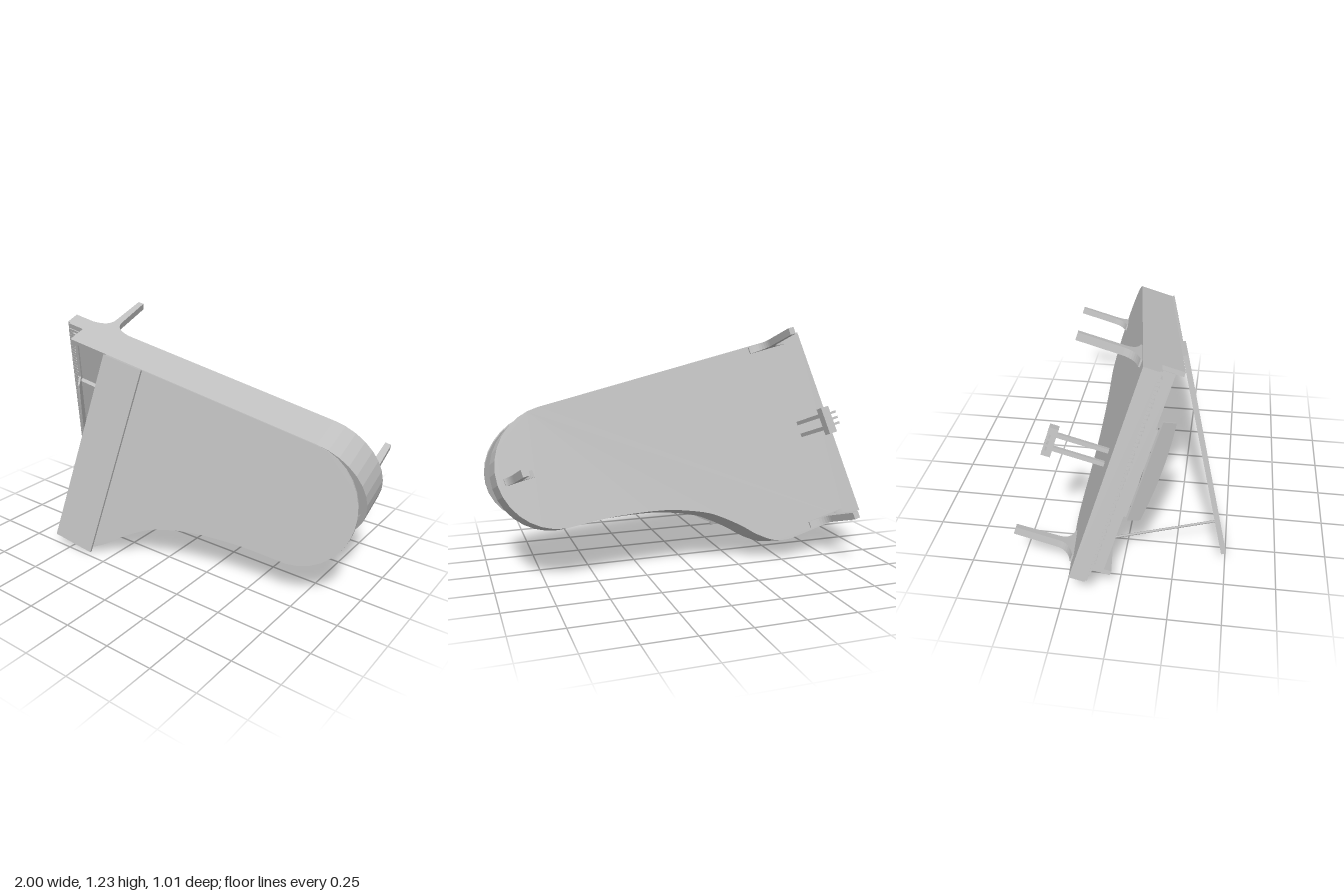
import * as THREE from 'three';

// Working frame: x = keyboard to tail, y = treble to bass, z = floor to lid.
const BASS = 0.934, WIDTH = 1.052, FRONT = -0.88, TOP = -0.113, BOTTOM = -0.304;

// Plan outline from the front bass corner round the tail to the front treble corner;
// y is measured down from the straight bass side.
function outline(front) {
  const pts = [new THREE.Vector2(front, 0)];
  for (let i = 0; i <= 16; i++) {
    const a = Math.PI / 2 - (Math.PI * i) / 16;
    pts.push(new THREE.Vector2(0.55 + 0.3 * Math.cos(a), -0.302 + 0.302 * Math.sin(a)));
  }
  const bend = new THREE.SplineCurve([
    [0.55, 0.604], [0.35, 0.626], [0.1, 0.68], [-0.09, 0.756], [-0.18, 0.815],
    [-0.27, 0.893], [-0.34, 0.965], [-0.43, 1.03], [-0.52, WIDTH],
  ].map(([x, s]) => new THREE.Vector2(x, -s)));
  pts.push(...bend.getPoints(24).slice(1), new THREE.Vector2(front, -WIDTH));
  return pts;
}

// Moves an open path inward (to its right) by d
function inset(pts, d) {
  return pts.map((p, i) => {
    const a = pts[Math.max(i - 1, 0)], b = pts[Math.min(i + 1, pts.length - 1)];
    const t = b.clone().sub(a).normalize();
    return new THREE.Vector2(p.x + t.y * d, p.y - t.x * d);
  });
}

export function createModel() {
  const gray = new THREE.MeshStandardMaterial({ color: 0xbebebe });
  gray.name = 'plain gray';
  const model = new THREE.Group();
  model.name = 'grandPiano';
  const piano = new THREE.Group();
  piano.name = 'pianoBody';
  model.add(piano);

  const add = (name, geo, parent = piano) => {
    const m = new THREE.Mesh(geo, gray);
    m.name = name;
    parent.add(m);
    return m;
  };
  const box = (name, x0, x1, y0, y1, z0, z1, parent) => {
    const m = add(name, new THREE.BoxGeometry(x1 - x0, y1 - y0, z1 - z0), parent);
    m.position.set((x0 + x1) / 2, (y0 + y1) / 2, (z0 + z1) / 2);
    return m;
  };
  const slab = (name, pts, depth, z, parent) => {
    const geo = new THREE.ExtrudeGeometry(new THREE.Shape(pts), { depth, bevelEnabled: false });
    const m = add(name, geo, parent);
    m.position.z = z;
    return m;
  };

  // Case: bottom board, curved rim and recessed soundboard
  const plan = outline(FRONT);
  const inner = inset(plan, 0.022);
  const TREBLE = BASS - WIDTH;
  slab('bottomBoard', plan, 0.02, BOTTOM).position.y = BASS;
  slab('rim', [...plan, ...inner.slice().reverse()], TOP - BOTTOM - 0.02, BOTTOM + 0.02).position.y = BASS;
  slab('soundboard', inset(plan, 0.015), 0.02, -0.215).position.y = BASS;

  // Keyboard
  box('keybed', -0.988, FRONT, TREBLE, BASS, BOTTOM, -0.229);
  box('fallboard', -0.885, -0.868, TREBLE + 0.02, BASS - 0.02, -0.229, -0.15);
  box('pinBlock', -0.87, -0.6, TREBLE + 0.02, BASS - 0.02, -0.2, -0.16);
  box('musicShelf', -0.865, -0.56, 0.19, 0.64, -0.16, -0.135);
  const keys = new THREE.Group();
  keys.name = 'keys';
  piano.add(keys);
  const k0 = TREBLE + 0.03, pitch = (WIDTH - 0.06) / 52;
  for (let i = 0; i < 52; i++) {
    const y = BASS - 0.03 - i * pitch;
    box('whiteKey', -0.975, -0.88, y - pitch + 0.0015, y, -0.23, -0.213, keys);
    // Black keys in groups of two and three
    if (i < 51 && ![1, 4].includes(i % 7)) {
      box('blackKey', -0.942, -0.88, y - pitch - 0.005, y - pitch + 0.005, -0.215, -0.203, keys);
    }
  }
  for (const y of [k0 - 0.03, BASS - 0.03]) box('keyBlock', -0.975, -0.88, y, y + 0.03, -0.23, -0.218, keys);

  // Music desk leaning back
  const deskShape = new THREE.Shape();
  deskShape.moveTo(-0.255, 0);
  deskShape.lineTo(0.255, 0);
  deskShape.lineTo(0.255, 0.075);
  deskShape.quadraticCurveTo(0, 0.115, -0.255, 0.075);
  const deskGeo = new THREE.ExtrudeGeometry(deskShape, { depth: 0.01, bevelEnabled: false, curveSegments: 10 });
  deskGeo.rotateX(Math.PI / 2).rotateZ(-Math.PI / 2).rotateY(0.55);
  const desk = add('musicDesk', deskGeo);
  desk.position.set(-0.85, 0.425, -0.13);

  // Lid, opened about the bass side, with its front flap folded back on top
  const lid = new THREE.Group();
  lid.name = 'lid';
  lid.position.set(0, BASS, TOP);
  lid.rotation.x = -Math.PI / 6;
  piano.add(lid);
  slab('mainLid', outline(-0.647), 0.013, 0, lid);
  box('foldedFlap', -0.647, -0.414, -WIDTH, 0, 0.013, 0.026, lid);

  // Lid prop
  const prop = new THREE.LineCurve3(new THREE.Vector3(-0.58, -0.1, -0.125), new THREE.Vector3(-0.586, 0.157, 0.335));
  add('lidProp', new THREE.TubeGeometry(prop, 1, 0.006, 6));

  // Legs flare into the case through curved brackets
  const leg = (x, y, left, right) => {
    const s = new THREE.Shape();
    s.moveTo(-0.016, -0.292);
    s.lineTo(0.016, -0.292);
    s.lineTo(0.02, -0.08);
    s.quadraticCurveTo(0.024, -0.02, right, -0.008);
    s.lineTo(right, 0.004);
    s.lineTo(-left, 0.004);
    s.lineTo(-left, -0.008);
    s.quadraticCurveTo(-0.024, -0.02, -0.02, -0.08);
    const geo = new THREE.ExtrudeGeometry(s, { depth: 0.036, bevelEnabled: false, curveSegments: 8 });
    geo.translate(0, 0, -0.018).rotateX(Math.PI / 2);
    add('leg', geo).position.set(x, y, BOTTOM);
  };
  leg(-0.765, 0.91, 0.11, 0.11);
  leg(-0.765, -0.09, 0.11, 0.11);
  leg(0.765, 0.634, 0.09, 0.05);

  // Pedal lyre
  const lyre = new THREE.Group();
  lyre.name = 'pedalLyre';
  piano.add(lyre);
  for (const y of [0.382, 0.45]) box('lyrePost', -0.81, -0.79, y - 0.01, y + 0.01, -0.55, BOTTOM, lyre);
  box('pedalBox', -0.825, -0.78, 0.346, 0.486, -0.59, -0.546, lyre);
  for (const y of [0.386, 0.416, 0.446]) box('pedal', -0.865, -0.82, y - 0.006, y + 0.006, -0.58, -0.572, lyre);

  // Tilt the instrument into its resting pose
  const u = new THREE.Vector3(0.968, -0.217, -0.126).normalize();
  const w = new THREE.Vector3(0.05, -0.31, 0.95);
  w.addScaledVector(u, -w.dot(u)).normalize();
  const v = new THREE.Vector3().crossVectors(w, u);
  piano.quaternion.setFromRotationMatrix(new THREE.Matrix4().makeBasis(u, v, w));
  return model;
}
